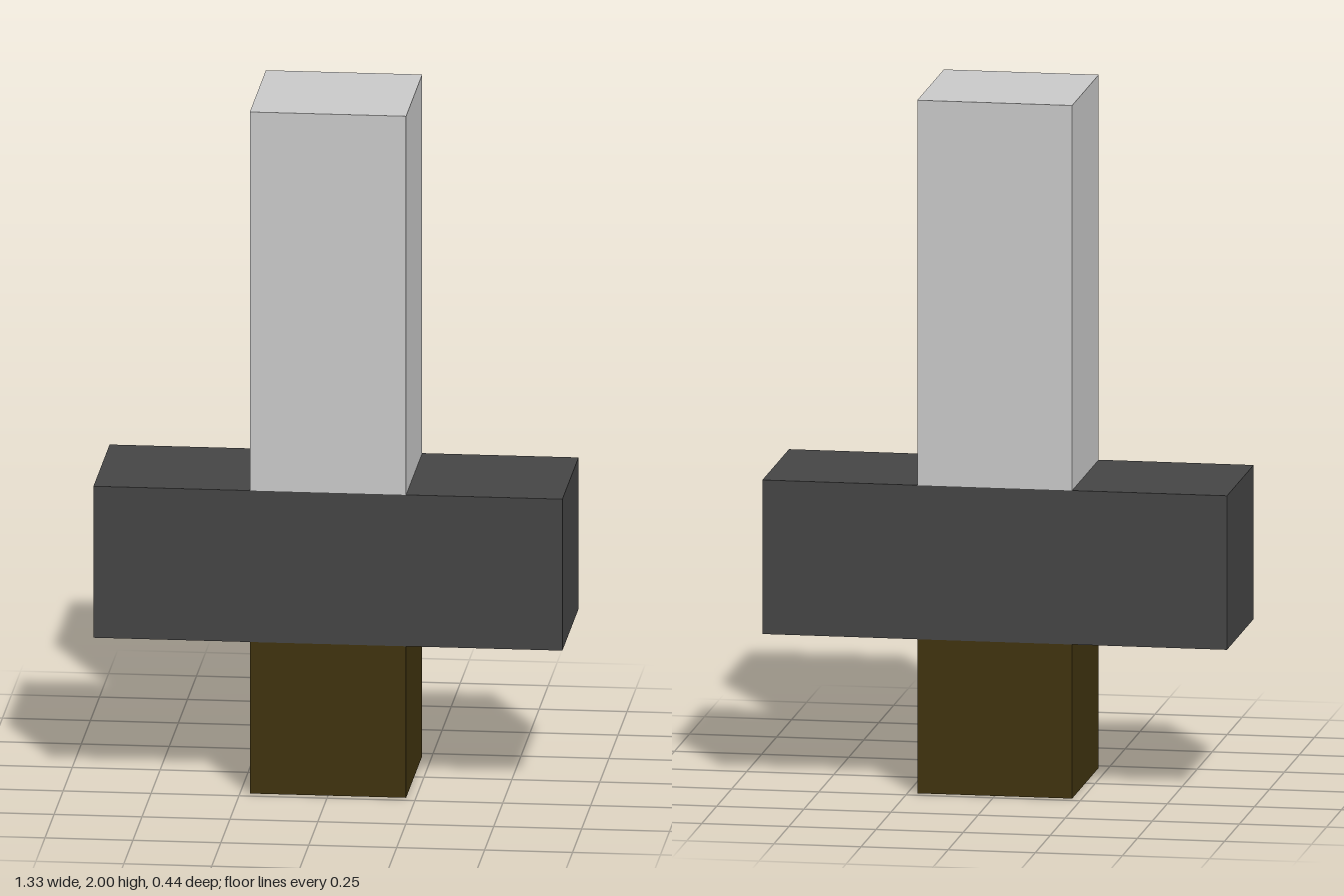
import * as THREE from 'three';

const U = 2 / 9; // half the square section; the model is nine units tall

const blade = new THREE.MeshStandardMaterial({ name: 'light grey blade', color: 0xc9c9c9 });
const guard = new THREE.MeshStandardMaterial({ name: 'dark grey guard', color: 0x454545 });
const grip = new THREE.MeshStandardMaterial({ name: 'dark brown grip', color: 0x40330f });

// Box of the common depth, standing on height y
function block(name, material, width, height, y) {
  const mesh = new THREE.Mesh(new THREE.BoxGeometry(width, height, 2 * U), material);
  mesh.name = name;
  mesh.position.y = y + height / 2;
  return mesh;
}

export function createModel() {
  const sword = new THREE.Group();
  sword.name = 'blockSword';
  sword.add(
    block('grip', grip, 2 * U, 2 * U, 0),
    block('crossguard', guard, 6 * U, 2 * U, 2 * U),
    block('blade', blade, 2 * U, 5 * U, 4 * U),
  );
  return sword;
}
